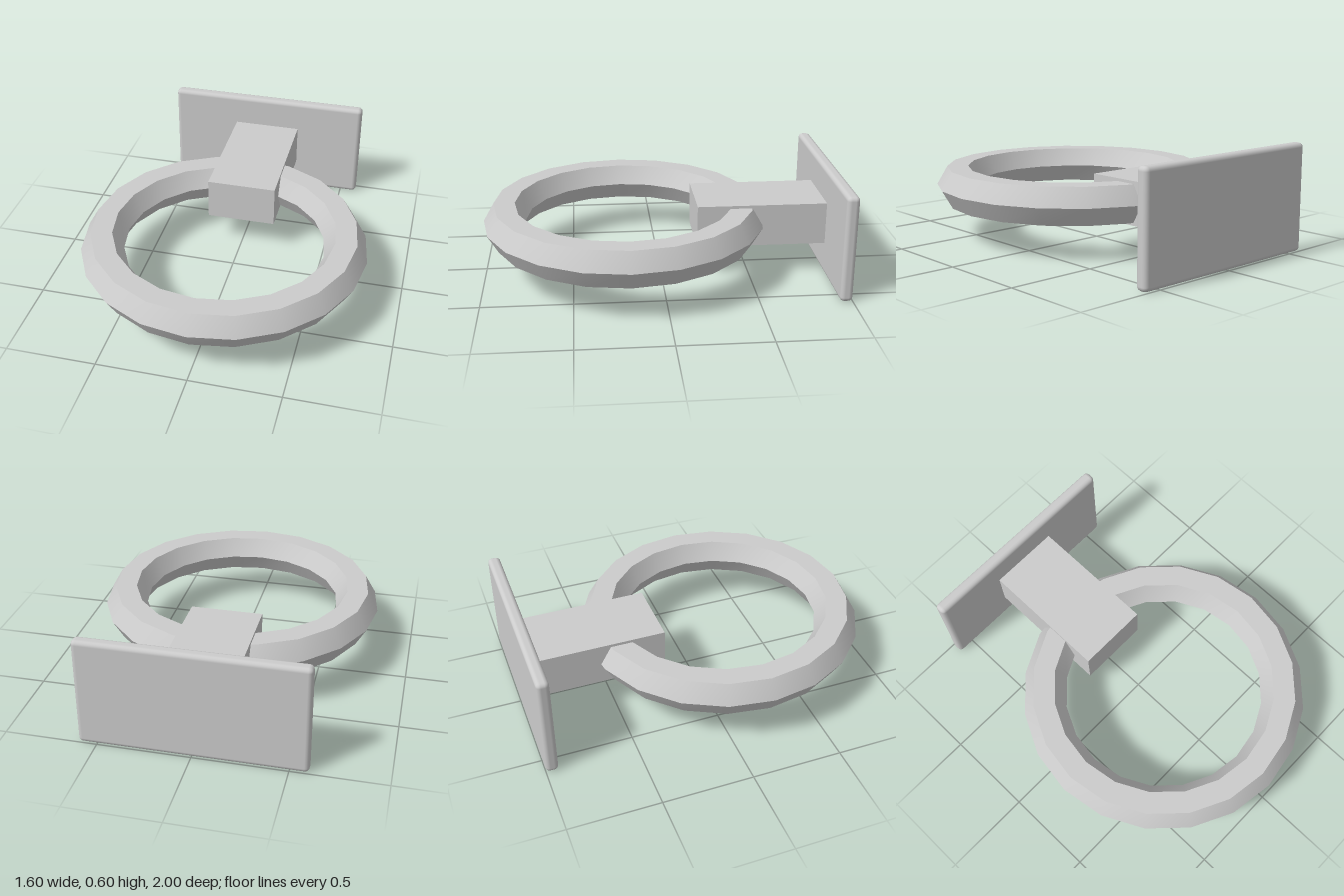
import * as THREE from 'three';
import { toCreasedNormals } from 'three/addons/utils/BufferGeometryUtils.js';
import { RoundedBoxGeometry } from 'three/addons/geometries/RoundedBoxGeometry.js';

const MID_Y = 0.3; // shared centre height of all parts

export function createModel() {
  const group = new THREE.Group();
  group.name = 'ringHolder';

  const grey = new THREE.MeshStandardMaterial({ color: 0xcccccc });
  grey.name = 'light grey';

  const add = (name, geometry, z) => {
    const mesh = new THREE.Mesh(geometry, grey);
    mesh.name = name;
    mesh.position.set(0, MID_Y, z);
    group.add(mesh);
  };

  // Horizontal ring: hexagonal section, smooth around, sharp between bands
  const ring = new THREE.TorusGeometry(0.68, 0.12, 6, 20).rotateX(Math.PI / 2);
  add('ring', toCreasedNormals(ring, 0.6), 0.2);

  // Arm from the wall plate through the ring
  add('arm', new THREE.BoxGeometry(0.4, 0.24, 0.78), -0.59);

  // Wall plate with softened edges
  add('wallPlate', new RoundedBoxGeometry(1.2, 0.6, 0.07, 2, 0.025), -0.965);

  return group;
}
